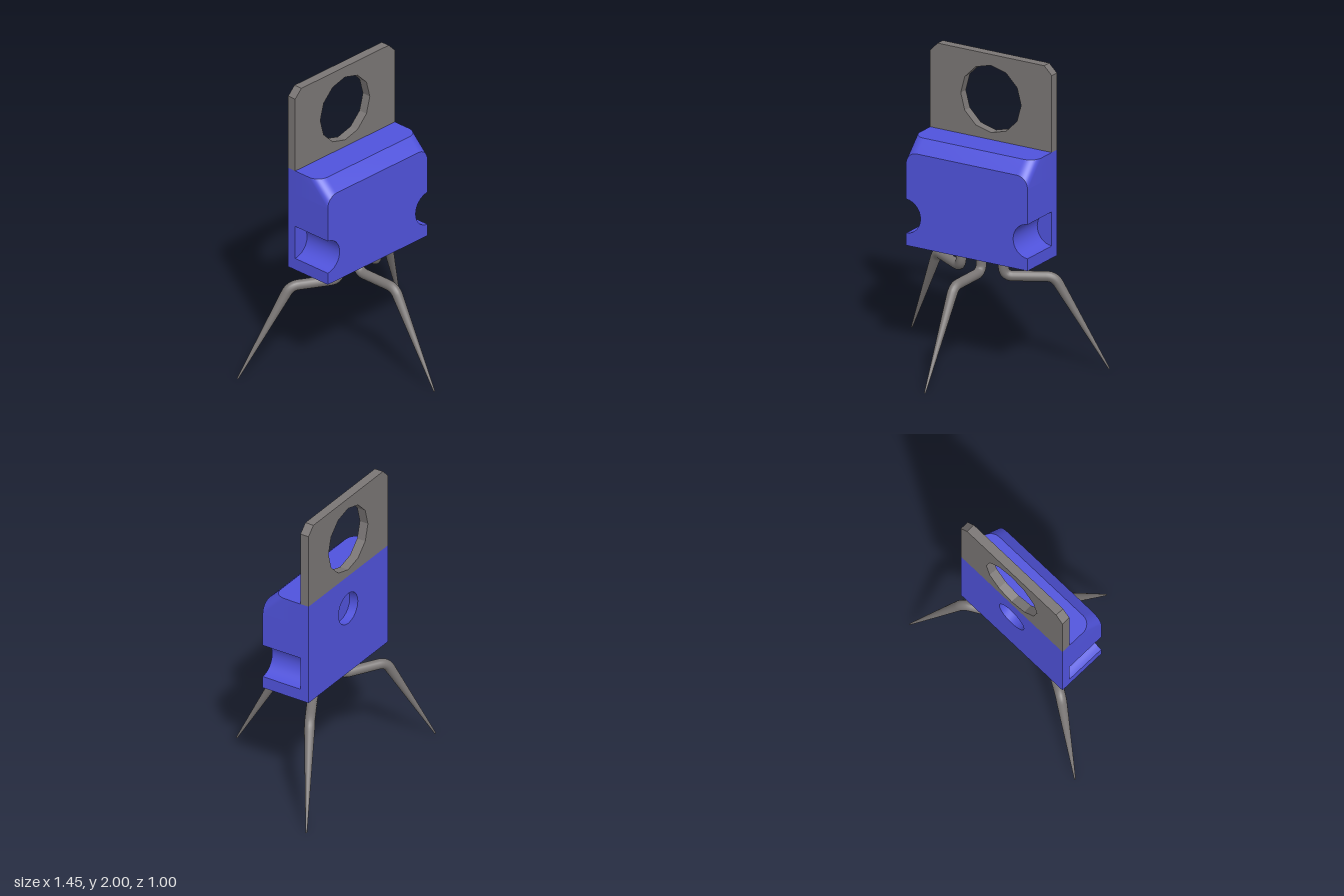
import * as THREE from 'three';
import { mergeGeometries, toCreasedNormals } from 'three/addons/utils/BufferGeometryUtils.js';

const W = 0.445, BOTTOM = 0.745, TOP = 1.44;   // body outline
const BACK = -0.33, MID = -0.27, FRONT = 0.01; // depth layers
const SHOULDER = 1.28;                         // where the bevelled top begins

const blue = new THREE.MeshStandardMaterial({ color: 0x5053dc });
const metal = new THREE.MeshStandardMaterial({ color: 0x7a7675 });

function add(parent, name, geometry, material) {
  const mesh = new THREE.Mesh(geometry, material);
  mesh.name = name;
  parent.add(mesh);
  return mesh;
}

function polygon(points) {
  return new THREE.Shape(points.map(([x, y]) => new THREE.Vector2(x, y)));
}

// Round hole drawn with a fixed number of sides
function roundHole(y, radius, sides) {
  const points = [];
  for (let i = 0; i < sides; i++) {
    const a = -i / sides * Math.PI * 2;
    points.push(new THREE.Vector2(radius * Math.cos(a), y + radius * Math.sin(a)));
  }
  return new THREE.Path(points);
}

// Extrudes an outline between two z positions
function slab(shape, z0, z1) {
  const g = new THREE.ExtrudeGeometry(shape, { depth: z1 - z0, bevelEnabled: false });
  return toCreasedNormals(g.translate(0, 0, z0), 0.5);
}

// Lower front block with a rounded notch in each side
function notchedShape() {
  const cy = 0.9375, r = 0.1125, cx = W + 0.0065, n = 16;
  const half = Math.acos((cx - W) / r);
  const right = [[W, BOTTOM]];
  for (let i = 0; i <= n; i++) {
    const a = Math.PI + half - 2 * half * i / n;
    right.push([cx + r * Math.cos(a), cy + r * Math.sin(a)]);
  }
  right.push([W, SHOULDER]);
  const left = right.map(([x, y]) => [-x, y]).reverse();
  return polygon([...right, ...left]);
}

// Bevelled top: side profiles lofted across x, the bevel growing at both ends
function bevelledTop() {
  const stations = [], n = 10, r = 0.08;
  for (let i = 0; i <= n; i++) {
    const a = i / n * Math.PI / 2;
    stations.push([W - r + r * Math.sin(a), 2 * r - r * Math.cos(a)]);
  }
  const all = [...stations.map(([x, c]) => [-x, c]).reverse(), ...stations];
  const rings = all.map(([x, c]) => [
    [x, SHOULDER, FRONT], [x, SHOULDER, MID], [x, TOP, MID], [x, TOP, FRONT - c], [x, TOP - c, FRONT],
  ]);
  const pos = [];
  const tri = (a, b, c) => pos.push(...a, ...b, ...c);
  for (let i = 0; i < rings.length - 1; i++) {
    for (let j = 0; j < 5; j++) {
      const k = (j + 1) % 5, p = rings[i], q = rings[i + 1];
      tri(p[j], p[k], q[k]);
      tri(p[j], q[k], q[j]);
    }
  }
  const first = rings[0], last = rings[rings.length - 1];
  for (let j = 1; j < 4; j++) {
    tri(last[0], last[j], last[j + 1]);
    tri(first[0], first[j + 1], first[j]);
  }
  const g = new THREE.BufferGeometry();
  g.setAttribute('position', new THREE.Float32BufferAttribute(pos, 3));
  return toCreasedNormals(g, 0.5);
}

// Bent leg running down, out along +z and down again to a point
function legGeometry() {
  const v = (d, y) => new THREE.Vector3(0, y, d);
  const radius = 0.033, sides = 16, steps = 72;
  const path = new THREE.CurvePath();
  path.add(new THREE.LineCurve3(v(0, 0.735), v(0, 0.665)));
  path.add(new THREE.QuadraticBezierCurve3(v(0, 0.665), v(0, 0.605), v(0.06, 0.605)));
  path.add(new THREE.LineCurve3(v(0.06, 0.605), v(0.265, 0.605)));
  path.add(new THREE.QuadraticBezierCurve3(v(0.265, 0.605), v(0.315, 0.605), v(0.34, 0.561)));
  path.add(new THREE.LineCurve3(v(0.34, 0.561), v(0.655, 0.003)));
  const tube = new THREE.TubeGeometry(path, steps, radius, sides, false);

  // Taper the last straight run
  const pos = tube.attributes.position, p = new THREE.Vector3();
  for (let i = 0; i <= steps; i++) {
    const centre = path.getPointAt(i / steps);
    const t = centre.z > 0.3 ? THREE.MathUtils.clamp(centre.y / 0.561, 0, 1) : 1;
    for (let j = 0; j <= sides; j++) {
      const k = i * (sides + 1) + j;
      p.fromBufferAttribute(pos, k).sub(centre).multiplyScalar(0.15 + 0.85 * t).add(centre);
      pos.setXYZ(k, p.x, p.y, p.z);
    }
  }
  const topCap = new THREE.CircleGeometry(radius, sides).rotateX(-Math.PI / 2).translate(0, 0.735, 0);
  const tipCap = new THREE.CircleGeometry(0.005, sides).rotateX(Math.PI / 2).translate(0, 0.003, 0.655);
  return mergeGeometries([tube, topCap, tipCap]);
}

export function createModel() {
  const model = new THREE.Group();
  model.name = 'transistor';

  // Plastic body: back slab with a shallow round recess, notched block, bevelled top
  const body = new THREE.Group();
  body.name = 'body';
  model.add(body);
  const backShape = polygon([[-W, BOTTOM], [W, BOTTOM], [W, TOP], [-W, TOP]]);
  backShape.holes.push(roundHole(1.207, 0.108, 20));
  add(body, 'bodyBack', slab(backShape, BACK, MID), blue);
  add(body, 'bodyFront', slab(notchedShape(), MID, FRONT), blue);
  add(body, 'bodyTop', bevelledTop(), blue);

  // Metal mounting tab with clipped corners and a twelve-sided hole
  const clip = 0.055;
  const tabShape = polygon([
    [-W, TOP], [W, TOP], [W, 2 - clip], [W - clip, 2], [clip - W, 2], [-W, 2 - clip],
  ]);
  tabShape.holes.push(roundHole(1.707, 0.221, 12));
  add(model, 'mountingTab', slab(tabShape, BACK, MID), metal);

  // Three legs fanned out as a tripod
  const leg = legGeometry();
  [['frontLeg', 0, -0.158], ['leftLeg', 1, -0.17], ['rightLeg', -1, -0.17]].forEach(([name, side, z]) => {
    const mesh = add(model, name, leg, metal);
    mesh.position.set(side * 0.155, 0, z);
    mesh.rotation.y = side * Math.PI * 2 / 3;
  });
  return model;
}
